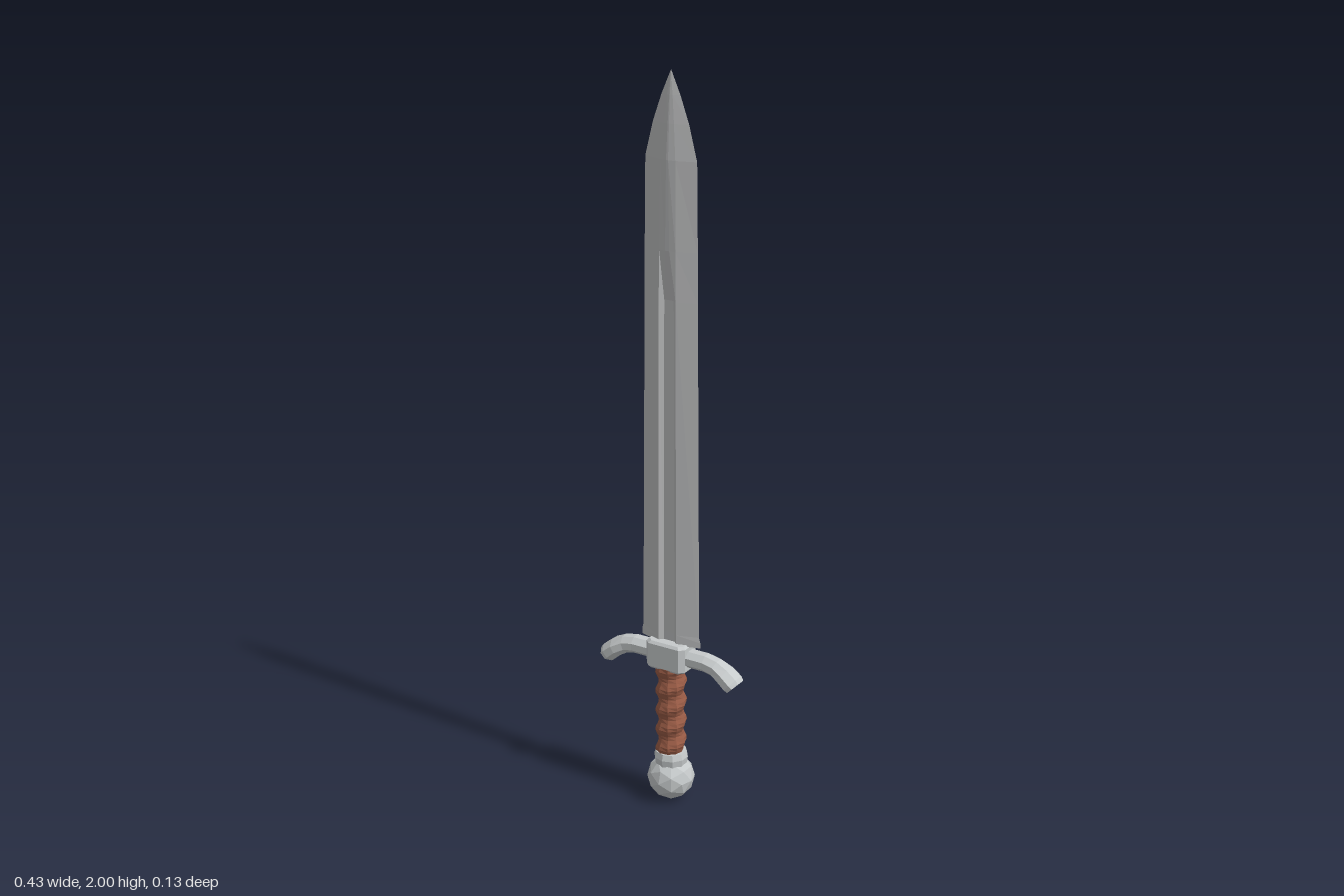
import * as THREE from 'three';

const steel = (name, color) => {
  const m = new THREE.MeshStandardMaterial({ color });
  m.name = name;
  return m;
};

// Skin a list of equal-sized rings into a closed, flat-faceted solid.
function loft(rings) {
  const pos = [];
  const tri = (...pts) => pts.forEach((p) => pos.push(p.x, p.y, p.z));
  const n = rings[0].length;
  for (let i = 0; i < rings.length - 1; i++) {
    for (let j = 0; j < n; j++) {
      const k = (j + 1) % n;
      const a = rings[i][j], b = rings[i][k], c = rings[i + 1][k], d = rings[i + 1][j];
      tri(a, d, c);
      tri(a, c, b);
    }
  }
  const centre = (r) => r.reduce((s, p) => s.add(p), new THREE.Vector3()).divideScalar(n);
  const first = rings[0], last = rings[rings.length - 1];
  const c0 = centre(first), c1 = centre(last);
  for (let j = 0; j < n; j++) {
    const k = (j + 1) % n;
    tri(c0, first[j], first[k]);
    tri(c1, last[k], last[j]);
  }
  const g = new THREE.BufferGeometry();
  g.setAttribute('position', new THREE.Float32BufferAttribute(pos, 3));
  g.computeVertexNormals();
  return g;
}

function flat(geometry) {
  const g = geometry.index ? geometry.toNonIndexed() : geometry;
  g.computeVertexNormals();
  return g;
}

// Blade: height, half width, shoulder x and z, fuller x and z.
function bladeGeometry() {
  const rows = [
    [0.47, 0.091, 0.027, 0.019, 0.016, 0.009],
    [0.485, 0.091, 0.027, 0.019, 0.016, 0.009],
    [0.5, 0.087, 0.027, 0.019, 0.016, 0.009],
    [1.42, 0.079, 0.025, 0.019, 0.014, 0.010],
    [1.55, 0.078, 0.024, 0.018, 0.006, 0.019],
    [1.78, 0.075, 0.022, 0.016, 0.003, 0.019],
    [1.87, 0.052, 0.015, 0.011, 0.002, 0.013],
    [1.94, 0.027, 0.008, 0.006, 0.001, 0.007],
    [2.0, 0.0005, 0.0002, 0.0002, 0.0001, 0.0003],
  ];
  return loft(rows.map(([y, w, sx, sz, fx, fz]) => [
    [w, 0], [sx, sz], [fx, fz], [-fx, fz], [-sx, sz],
    [-w, 0], [-sx, -sz], [-fx, -fz], [fx, -fz], [sx, -sz],
  ].map(([x, z]) => new THREE.Vector3(x, y, z))));
}

// One curved arm of the guard: path x, y, half height, half depth.
function armGeometry() {
  const path = [
    [0.04, 0.434, 0.023, 0.027], [0.11, 0.434, 0.023, 0.027],
    [0.14, 0.428, 0.023, 0.028], [0.168, 0.413, 0.024, 0.034],
    [0.191, 0.394, 0.025, 0.035], [0.199, 0.386, 0.023, 0.031],
  ];
  return loft(path.map(([x, y, h, d], i) => {
    const a = path[Math.max(i - 1, 0)], b = path[Math.min(i + 1, path.length - 1)];
    const t = new THREE.Vector2(b[0] - a[0], b[1] - a[1]).normalize();
    return Array.from({ length: 8 }, (_, j) => {
      const ang = ((j + 0.5) * Math.PI) / 4;
      const p = (h * Math.cos(ang)) / 0.924, q = (d * Math.sin(ang)) / 0.924;
      return new THREE.Vector3(x + t.y * p, y - t.x * p, q);
    });
  }));
}

// Grip with a spiral leather ridge.
function gripGeometry() {
  const rings = [], sides = 10, steps = 27, pitch = 0.058;
  for (let i = 0; i <= steps; i++) {
    const y = 0.135 + (0.275 * i) / steps;
    rings.push(Array.from({ length: sides }, (_, j) => {
      const ang = (j / sides) * Math.PI * 2;
      const r = 0.038 + 0.005 * Math.cos((y / pitch) * Math.PI * 2 + ang);
      return new THREE.Vector3(r * Math.cos(ang), y, r * Math.sin(ang));
    }));
  }
  return loft(rings);
}

// Guard block: chamfered plan with bevelled top and bottom edges.
function blockGeometry() {
  const ring = (y, s) => [
    [0.06, -0.027], [0.06, 0.027], [0.047, 0.04], [-0.047, 0.04],
    [-0.06, 0.027], [-0.06, -0.027], [-0.047, -0.04], [0.047, -0.04],
  ].map(([x, z]) => new THREE.Vector3(x - Math.sign(x) * s, y, z - Math.sign(z) * s));
  return loft([ring(0.395, 0.006), ring(0.402, 0), ring(0.468, 0), ring(0.475, 0.006)]);
}

export function createModel() {
  const bladeSteel = steel('blade steel', 0xbcbdbe);
  const fittingSteel = steel('fitting steel', 0xc6cacb);
  const leather = steel('brown leather', 0x9a5c46);
  const sword = new THREE.Group();
  sword.name = 'sword';
  const add = (name, geometry, material) => {
    const m = new THREE.Mesh(geometry, material);
    m.name = name;
    sword.add(m);
    return m;
  };

  add('blade', bladeGeometry(), bladeSteel);
  add('guardBlock', blockGeometry(), fittingSteel);

  // Matching guard arms
  const arm = armGeometry();
  add('guardArmLeft', arm, fittingSteel);
  add('guardArmRight', arm, fittingSteel).rotation.y = Math.PI;

  add('grip', gripGeometry(), leather);

  // Collar and faceted pommel
  const collar = [[0, 0.105], [0.044, 0.105], [0.047, 0.128], [0.042, 0.145], [0, 0.145]]
    .map(([r, y]) => new THREE.Vector2(r, y));
  add('collar', flat(new THREE.LatheGeometry(collar, 10)), fittingSteel);
  add('pommel', flat(new THREE.IcosahedronGeometry(0.065, 1)), fittingSteel).position.y = 0.065;

  return sword;
}
